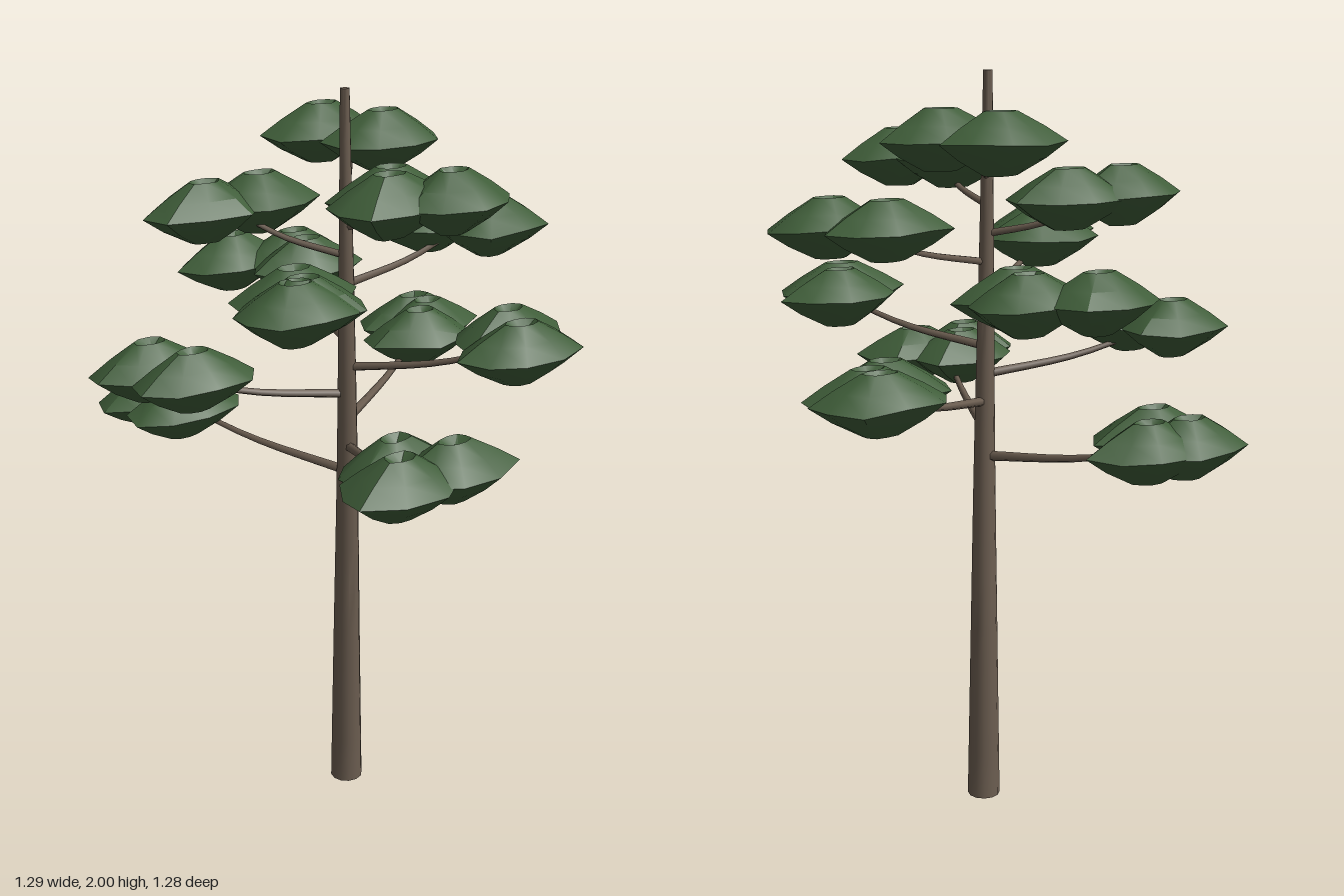
import * as THREE from 'three';
import { toCreasedNormals } from 'three/addons/utils/BufferGeometryUtils.js';

const bark = new THREE.MeshStandardMaterial({ color: 0x6b5d50 });
bark.name = 'bark brown';
const needles = new THREE.MeshStandardMaterial({ color: 0x3f5d39, side: THREE.DoubleSide });
needles.name = 'needle green';

// Centre line of the gently leaning trunk
const trunkLine = new THREE.CatmullRomCurve3([
  [0.022, 0, -0.003], [0.012, 0.5, 0.01], [-0.003, 1, 0.03], [-0.017, 1.5, 0.042], [-0.018, 2, 0.036],
].map((p) => new THREE.Vector3(...p)));

// Small seeded random generator
function seeded(seed) {
  let s = seed * 7919 + 17;
  return () => (s = (s * 16807) % 2147483647) / 2147483647;
}

// Capped cylinder whose rings are shifted onto the centre line
function trunkGeometry() {
  const g = new THREE.CylinderGeometry(0.012, 0.045, 2, 12, 16);
  g.translate(0, 1, 0);
  const pos = g.attributes.position;
  for (let i = 0; i < pos.count; i++) {
    const c = trunkLine.getPoint(pos.getY(i) / 2);
    pos.setX(i, pos.getX(i) + c.x);
    pos.setZ(i, pos.getZ(i) + c.z);
  }
  g.computeVertexNormals();
  return toCreasedNormals(g, 0.9);
}

// Tube that narrows along its curve
function taperedTube(curve, r0, r1, steps, sides) {
  const g = new THREE.TubeGeometry(curve, steps, 1, sides);
  const pos = g.attributes.position;
  const v = new THREE.Vector3();
  for (let i = 0; i < pos.count; i++) {
    const t = Math.floor(i / (sides + 1)) / steps;
    const c = curve.getPointAt(t);
    v.fromBufferAttribute(pos, i).sub(c).multiplyScalar(r0 + (r1 - r0) * t).add(c);
    pos.setXYZ(i, v.x, v.y, v.z);
  }
  return g;
}

// Flat irregular pad with a dented, open crown
const padProfile = [[0.1, -0.75], [0.26, -1], [0.68, -0.5], [1, 0], [0.66, 0.5], [0.26, 1], [0.1, 0.75]]
  .map(([r, y]) => new THREE.Vector2(r, y));
const SIDES = 9;

function padGeometry(seed) {
  const rnd = seeded(seed);
  const g = new THREE.LatheGeometry(padProfile, SIDES, rnd() * 0.7);
  const spread = Array.from({ length: SIDES }, () => 0.9 + rnd() * 0.2);
  const lift = Array.from({ length: SIDES }, () => (rnd() - 0.5) * 0.14);
  const pos = g.attributes.position;
  const n = padProfile.length;
  for (let i = 0; i < pos.count; i++) {
    const k = Math.floor(i / n) % SIDES;
    pos.setXYZ(i, pos.getX(i) * spread[k], pos.getY(i) + lift[k] * (1 - Math.abs(pos.getY(i))), pos.getZ(i) * spread[k]);
  }
  g.scale(0.172, 0.077, 0.112);
  return toCreasedNormals(g, 0.6);
}

// Pad centres [x, z] for each branch, lowest branch first
const clusters = [
  [[-0.25, -0.53], [-0.14, -0.51], [-0.25, -0.39]],
  [[-0.18, 0.43], [-0.25, 0.53], [-0.08, 0.53]],
  [[0.47, -0.25], [0.47, -0.19], [0.39, -0.13]],
  [[-0.48, -0.17], [-0.44, -0.04]],
  [[0.25, 0.36], [0.19, 0.47]],
  [[-0.03, -0.44], [0.13, -0.37], [0.1, -0.28]],
  [[-0.265, 0.15], [-0.3, 0.23], [-0.34, 0.25]],
  [[0.39, 0.14], [0.3, 0.01]],
  [[-0.28, -0.2], [-0.11, -0.2]],
  [[-0.02, 0.22], [-0.08, 0.28], [0.07, 0.34]],
  [[0.18, -0.05], [0.12, -0.23]],
];

export function createModel() {
  const tree = new THREE.Group();
  tree.name = 'pineTree';

  const add = (parent, name, geometry, material) => {
    const m = new THREE.Mesh(geometry, material);
    m.name = name;
    parent.add(m);
    return m;
  };

  add(tree, 'trunk', trunkGeometry(), bark);

  clusters.forEach((pads, i) => {
    const limb = new THREE.Group();
    limb.name = 'limb' + (i + 1);
    tree.add(limb);

    // Branch sweeping up from the trunk into the middle of its pads
    const startY = 0.98 + i * 0.075;
    const padY = 1.093 + i * 0.0745;
    const start = trunkLine.getPoint(startY / 2);
    const end = new THREE.Vector3(0, padY - 0.01, 0);
    pads.forEach(([x, z]) => {
      end.x += x / pads.length;
      end.z += z / pads.length;
    });
    const mid = start.clone().lerp(end, 0.55);
    mid.y = start.y + (end.y - start.y) * 0.38;
    const curve = new THREE.CatmullRomCurve3([start, mid, end]);
    add(limb, 'branch', taperedTube(curve, 0.014 - i * 0.0005, 0.006, 8, 6), bark);

    // Foliage pads
    pads.forEach(([x, z], j) => {
      add(limb, 'foliagePad', padGeometry(i * 5 + j + 1), needles).position.set(x, padY, z);
    });
  });

  return tree;
}
